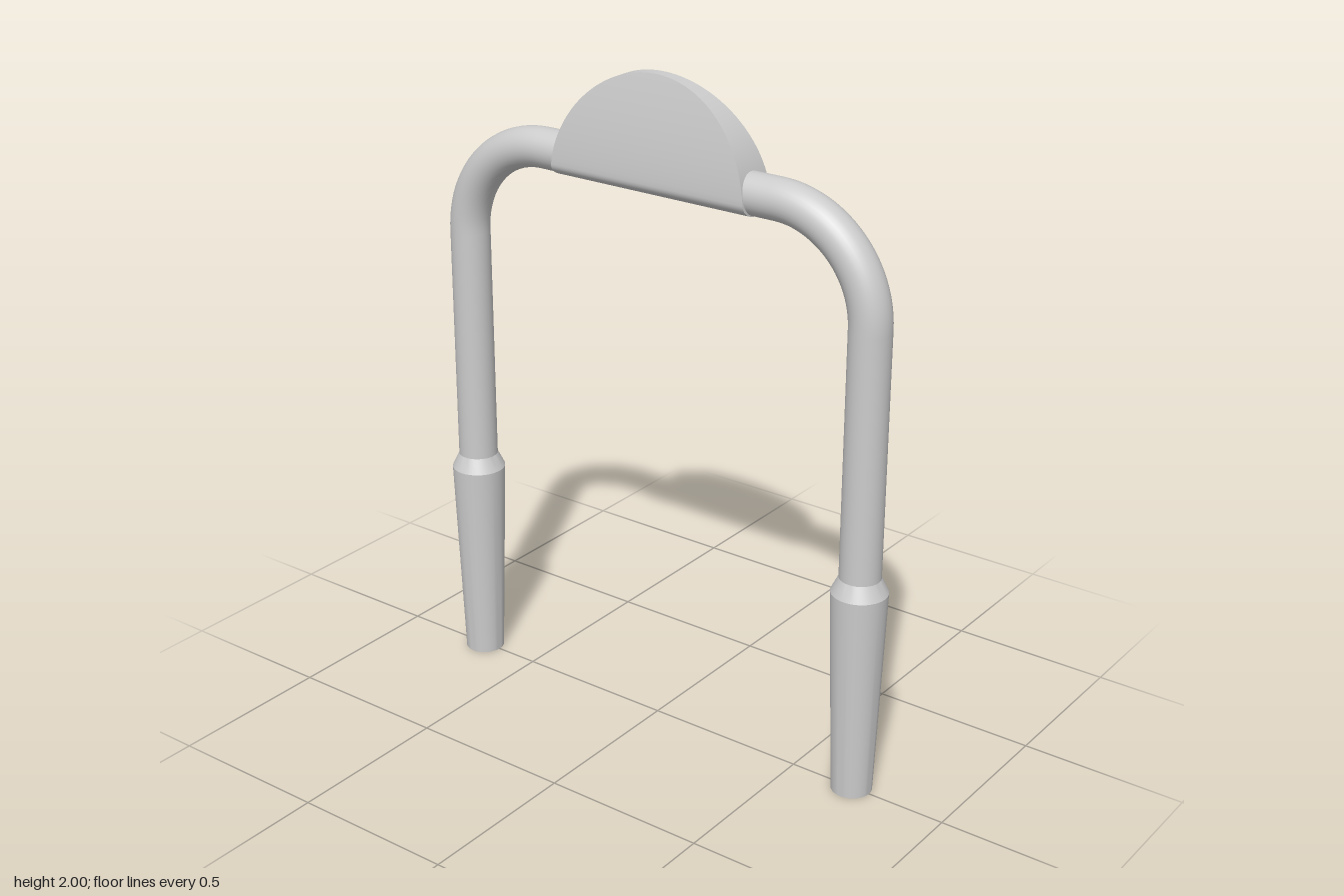
import * as THREE from 'three';
import { toCreasedNormals } from 'three/addons/utils/BufferGeometryUtils.js';

const LEG_X = 0.7, BAR_Y = 1.72, TUBE_R = 0.06, BEND = 0.3;

// Upside-down U path: leg, bend, crossbar, bend, leg
function framePath() {
  const v = (x, y) => new THREE.Vector3(x, y, 0);
  const path = new THREE.CurvePath();
  const inner = LEG_X - BEND, low = BAR_Y - BEND, k = BEND * 0.4477;
  path.add(new THREE.LineCurve3(v(-LEG_X, 0.62), v(-LEG_X, low)));
  path.add(new THREE.CubicBezierCurve3(v(-LEG_X, low), v(-LEG_X, BAR_Y - k), v(-LEG_X + k, BAR_Y), v(-inner, BAR_Y)));
  path.add(new THREE.LineCurve3(v(-inner, BAR_Y), v(inner, BAR_Y)));
  path.add(new THREE.CubicBezierCurve3(v(inner, BAR_Y), v(LEG_X - k, BAR_Y), v(LEG_X, BAR_Y - k), v(LEG_X, low)));
  path.add(new THREE.LineCurve3(v(LEG_X, low), v(LEG_X, 0.62)));
  return path;
}

// Half-round plate: rectangular rows stacked in y, thinning toward the top, rounded below
function plateGeometry() {
  const R = 0.33, yc = 1.67, yWide = 1.70, hMax = 0.066;
  const rows = [];
  const halfWidth = (y) => (y <= yc ? R : Math.max(0.001, Math.sqrt(Math.max(0, R * R - (y - yc) ** 2))));
  for (let i = 0; i <= 10; i++) {
    const a = (i / 10) * Math.PI / 2;
    const y = yWide - 0.042 * Math.cos(a);
    rows.push([halfWidth(y), y, hMax * Math.sin(a)]);
  }
  const a0 = Math.asin((yWide - yc) / R);
  for (let i = 1; i <= 32; i++) {
    const y = yc + R * Math.sin(a0 + (Math.PI / 2 - a0) * (i / 32));
    rows.push([halfWidth(y), y, hMax - 0.048 * ((y - yWide) / 0.3) ** 1.6]);
  }
  const pos = [], index = [];
  rows.forEach(([w, y, h], r) => {
    pos.push(-w, y, h, w, y, h, w, y, -h, -w, y, -h);
    if (r === 0) return;
    for (let c = 0; c < 4; c++) {
      const n = (c + 1) % 4, lo = (r - 1) * 4, hi = r * 4;
      index.push(lo + c, lo + n, hi + n, lo + c, hi + n, hi + c);
    }
  });
  const top = (rows.length - 1) * 4;
  index.push(top, top + 1, top + 2, top, top + 2, top + 3);
  const g = new THREE.BufferGeometry();
  g.setAttribute('position', new THREE.Float32BufferAttribute(pos, 3));
  g.setIndex(index);
  return toCreasedNormals(g, 0.6);
}

export function createModel() {
  const group = new THREE.Group();
  const material = new THREE.MeshStandardMaterial({ color: 0xcccccc });
  const add = (name, geometry, x = 0, z = 0) => {
    const mesh = new THREE.Mesh(geometry, material);
    mesh.name = name;
    mesh.position.set(x, 0, z);
    group.add(mesh);
  };

  // Bent tube
  add('tubeFrame', new THREE.TubeGeometry(framePath(), 160, TUBE_R, 32, false));

  // Tapered foot sleeves
  const profile = [[0, 0], [0.06, 0], [0.082, 0.64], [0.06, 0.685]].map(([r, y]) => new THREE.Vector2(r, y));
  const sleeve = toCreasedNormals(new THREE.LatheGeometry(profile, 40), 0.4);
  add('leftFootSleeve', sleeve, LEG_X);
  add('rightFootSleeve', sleeve, -LEG_X);

  // Half-round plate on the crossbar
  add('topPlate', plateGeometry(), 0, -0.003);

  return group;
}
